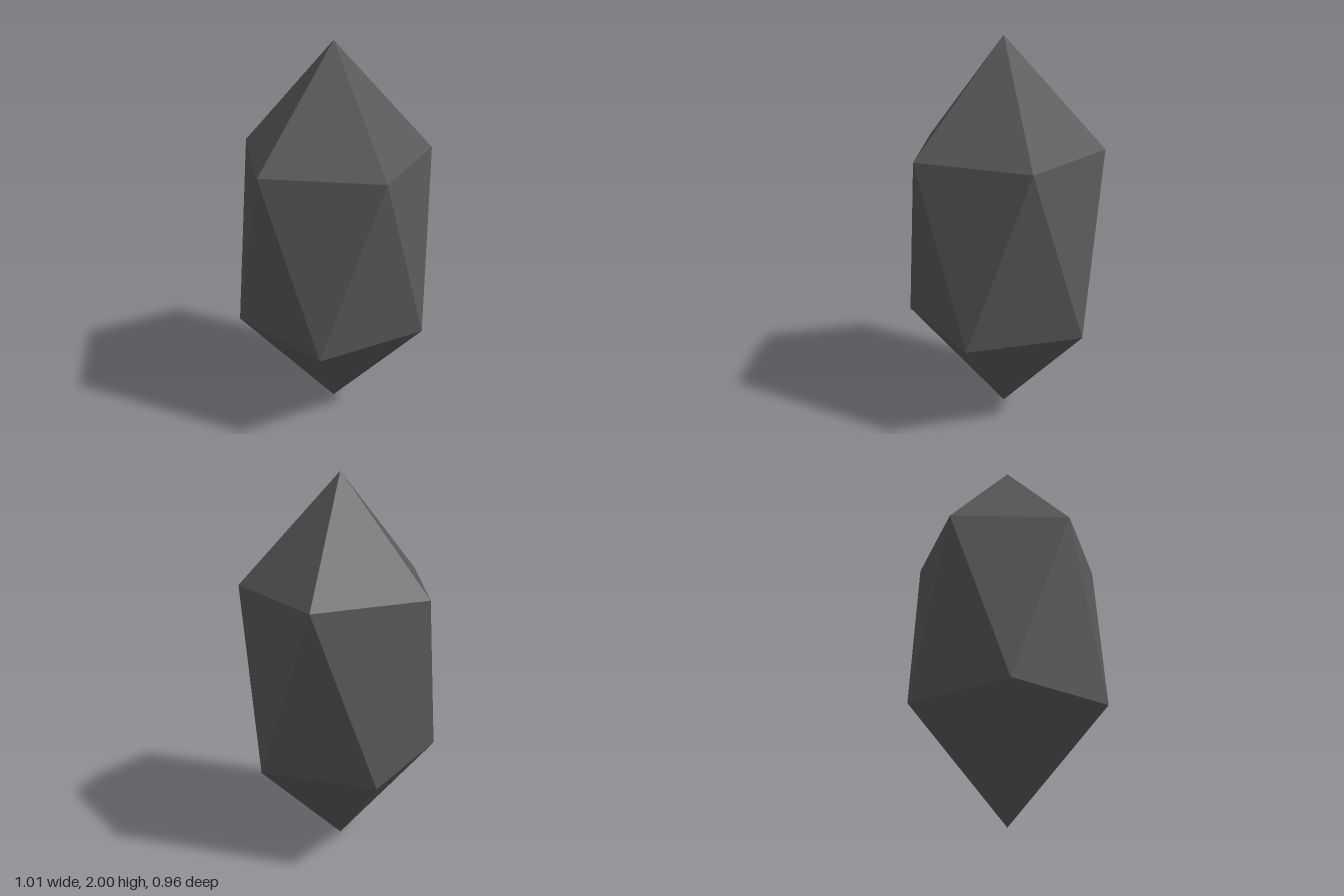
import * as THREE from 'three';

const SIDES = 5;
const RADIUS = 0.505;

// Ring of corners; turn is an offset in fifths of a circle
function ring(y, turn) {
  return Array.from({ length: SIDES }, (_, i) => {
    const a = ((i + turn) / SIDES) * Math.PI * 2;
    return [Math.cos(a) * RADIUS, y, Math.sin(a) * RADIUS];
  });
}

// Elongated twenty-faced crystal: two tips joined by two staggered rings
function crystalGeometry() {
  const top = [0, 2, 0];
  const bottom = [0, 0, 0];
  const upper = ring(1.447, 0);
  const lower = ring(0.553, 0.5);
  const corners = [];
  for (let i = 0; i < SIDES; i++) {
    const j = (i + 1) % SIDES;
    corners.push(top, upper[j], upper[i]); // upper point
    corners.push(upper[i], upper[j], lower[i]); // belt, pointing down
    corners.push(lower[i], upper[j], lower[j]); // belt, pointing up
    corners.push(lower[i], lower[j], bottom); // lower point
  }
  const geometry = new THREE.BufferGeometry();
  geometry.setAttribute('position', new THREE.Float32BufferAttribute(corners.flat(), 3));
  geometry.computeVertexNormals();
  return geometry;
}

export function createModel() {
  const model = new THREE.Group();
  model.name = 'crystal';
  const darkGrey = new THREE.MeshStandardMaterial({ color: 0x595959 });
  darkGrey.name = 'dark grey';
  darkGrey.flatShading = true;
  const body = new THREE.Mesh(crystalGeometry(), darkGrey);
  body.name = 'crystalBody';
  model.add(body);
  return model;
}
